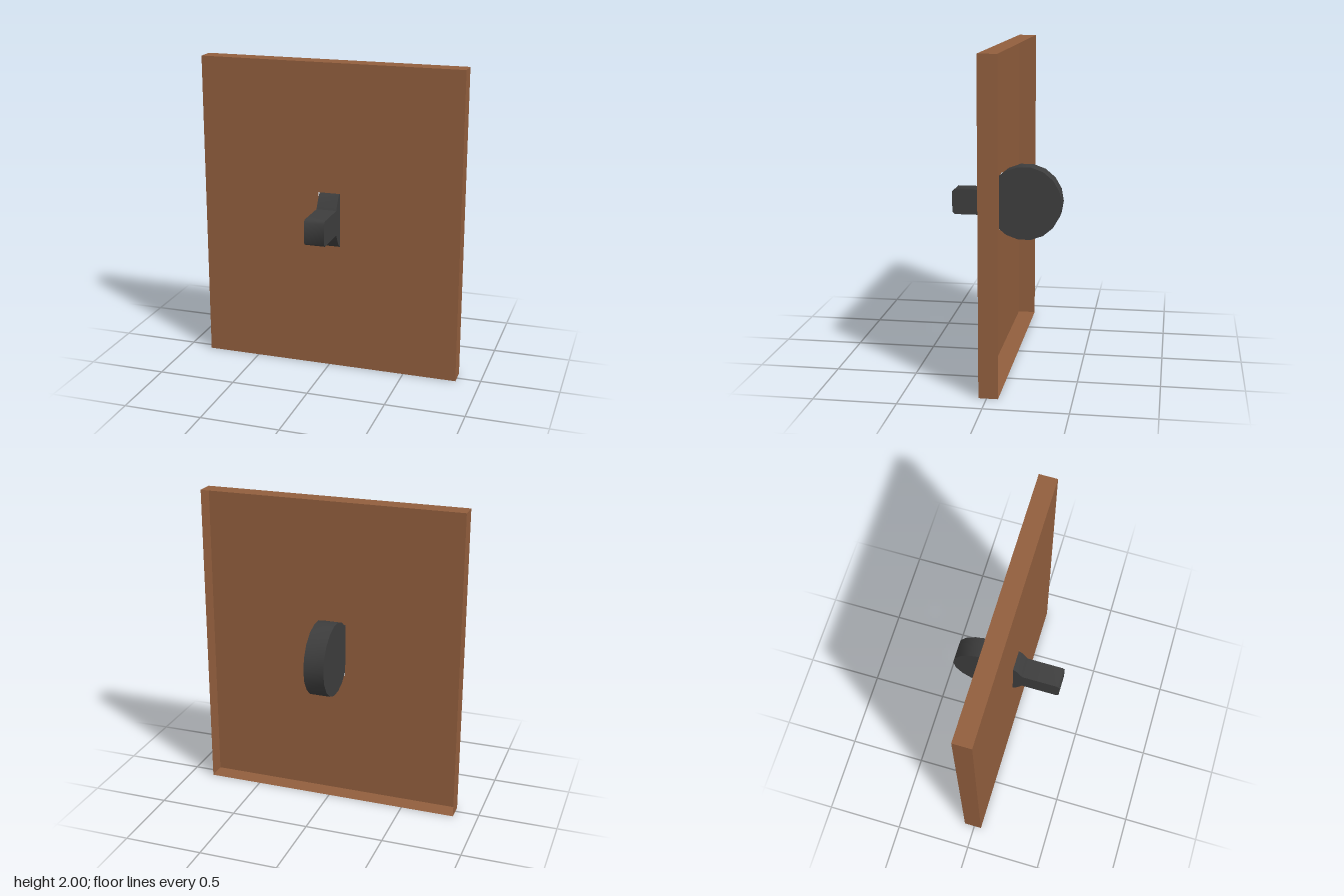
import * as THREE from 'three';
import { toCreasedNormals } from 'three/addons/utils/BufferGeometryUtils.js';

const W = 1.69, H = 2, FRONT = 0.048, BACK = -0.068;

function rectPoints(hw, hh) {
  return [[-hw, -hh], [hw, -hh], [hw, hh], [-hw, hh]].map(([x, y]) => new THREE.Vector2(x, y));
}

// Thin wall plate, open at the back, with a slot for the lever
function createPlate() {
  const plate = new THREE.Group();
  plate.name = 'wallPlate';
  const material = new THREE.MeshStandardMaterial({ color: 0x915e3d, side: THREE.DoubleSide });

  const face = new THREE.Shape(rectPoints(W / 2, H / 2));
  face.holes.push(new THREE.Path(rectPoints(0.071, 0.175).reverse()));
  const front = new THREE.Mesh(new THREE.ShapeGeometry(face), material);
  front.name = 'plateFront';
  front.position.z = FRONT;
  plate.add(front);

  // Rim walls
  const depth = FRONT - BACK, midZ = (FRONT + BACK) / 2;
  for (const side of [-1, 1]) {
    const wall = new THREE.Mesh(new THREE.PlaneGeometry(depth, H), material);
    wall.name = side > 0 ? 'leftRim' : 'rightRim';
    wall.rotation.y = side * Math.PI / 2;
    wall.position.set(side * W / 2, 0, midZ);

    const edge = new THREE.Mesh(new THREE.PlaneGeometry(W, depth), material);
    edge.name = side > 0 ? 'topRim' : 'bottomRim';
    edge.rotation.x = -side * Math.PI / 2;
    edge.position.set(0, side * H / 2, midZ);
    plate.add(wall, edge);
  }
  return plate;
}

// Switch lever: 18-sided pivot disc with a bevelled handle, drawn as (z, y) and extruded along x
function createLever() {
  const r = 0.2366, centreZ = -0.114, width = 0.13, tip = 0.35, half = 0.081, bevel = 0.015;
  const profile = [];
  for (let i = 1; i <= 17; i++) {
    const a = i * Math.PI / 9;
    profile.push(new THREE.Vector2(centreZ + r * Math.cos(a), r * Math.sin(a)));
  }
  profile.push(
    new THREE.Vector2(tip - bevel, -half), new THREE.Vector2(tip, -half + bevel),
    new THREE.Vector2(tip, half - bevel), new THREE.Vector2(tip - bevel, half)
  );
  const geometry = new THREE.ExtrudeGeometry(new THREE.Shape(profile), { depth: width, bevelEnabled: false });
  geometry.translate(0, 0, -width / 2);
  geometry.rotateY(-Math.PI / 2);
  const lever = new THREE.Mesh(
    toCreasedNormals(geometry, 0.85),
    new THREE.MeshStandardMaterial({ color: 0x3d3d3d })
  );
  lever.name = 'switchLever';
  return lever;
}

export function createModel() {
  const model = new THREE.Group();
  model.name = 'lightSwitch';
  const parts = [createPlate(), createLever()];
  for (const part of parts) part.position.y = H / 2;
  model.add(...parts);
  return model;
}
